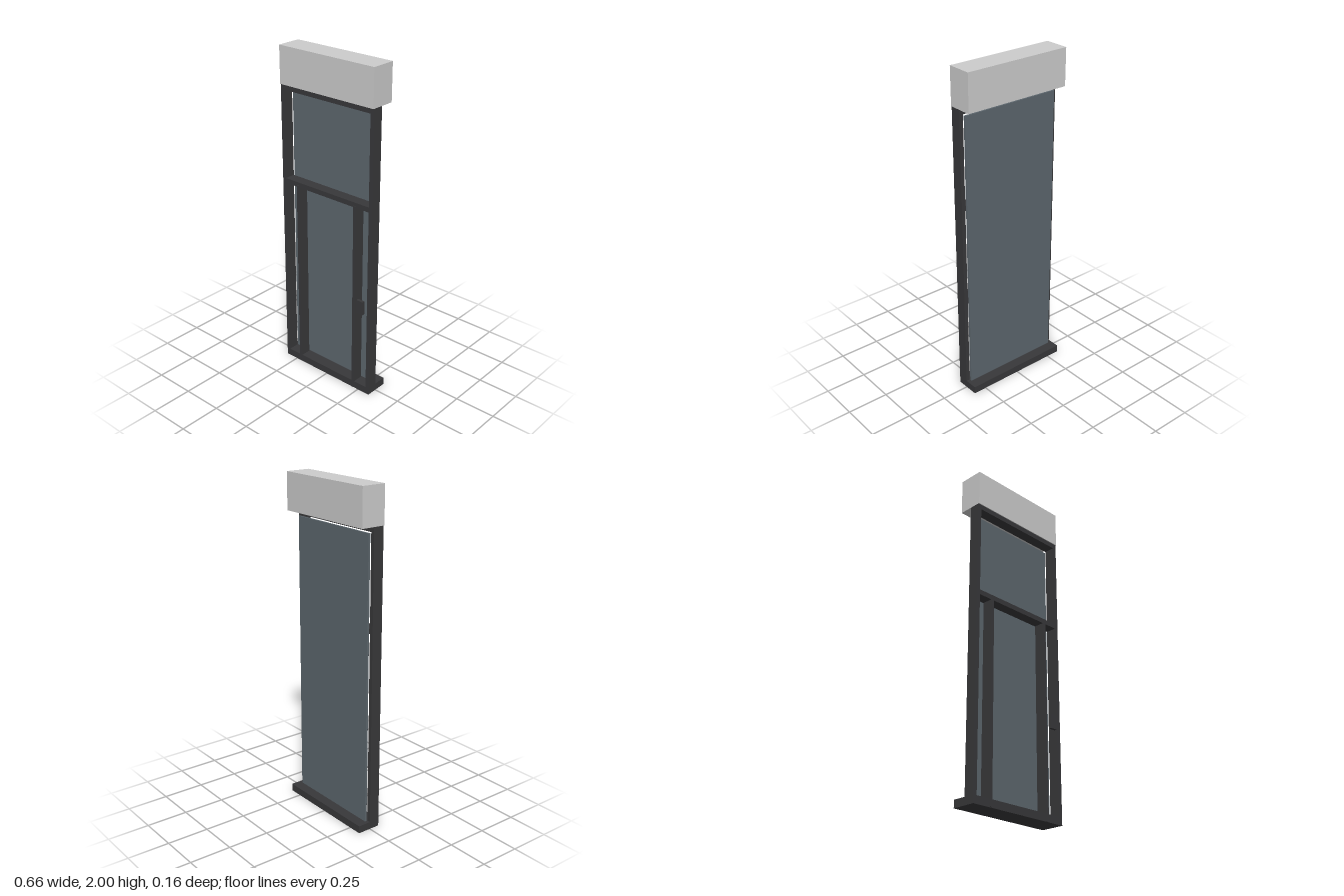
import * as THREE from 'three';

export function createModel() {
  const model = new THREE.Group();
  const grey = new THREE.MeshStandardMaterial({ color: 0xcccccc });
  const dark = new THREE.MeshStandardMaterial({ color: 0x38383a });
  const glass = new THREE.MeshStandardMaterial({ color: 0x5c666d });

  // Box given by its lower and upper corners
  function box(name, material, [x0, y0, z0], [x1, y1, z1]) {
    const mesh = new THREE.Mesh(new THREE.BoxGeometry(x1 - x0, y1 - y0, z1 - z0), material);
    mesh.position.set((x0 + x1) / 2, (y0 + y1) / 2, (z0 + z1) / 2);
    mesh.name = name;
    model.add(mesh);
  }

  const W = 0.332, inner = 0.309, front = 0.065;

  // Header housing above the door
  box('headerBox', grey, [-W, 1.78, -0.08], [W, 2, 0.07]);

  // Horizontal frame members
  box('sill', dark, [-inner, 0, 0], [inner, 0.045, front]);
  box('threshold', dark, [-W, 0, -0.08], [W, 0.045, 0]);
  box('transom', dark, [-inner, 1.19, 0], [inner, 1.22, front]);
  box('headRail', dark, [-inner, 1.75, 0], [inner, 1.78, front]);

  // Side posts and door mullions, mirrored
  for (const [side, s] of [['left', 1], ['right', -1]]) {
    const span = (a, b) => (s > 0 ? [a, b] : [-b, -a]);
    const [p0, p1] = span(inner, W);
    box(side + 'Post', dark, [p0, 0, 0], [p1, 1.78, front]);
    const [m0, m1] = span(0.203, 0.221);
    box(side + 'Mullion', dark, [m0, 0.003, 0.002], [m1, 1.2, 0.069]);
  }

  // Glass sheet hung behind the frame
  box('glassPanel', glass, [-inner, 0.045, -0.018], [inner, 1.745, -0.006]);

  // Door handle
  box('handle', dark, [0.243, 0.54, 0.062], [0.288, 0.625, 0.079]);

  return model;
}
